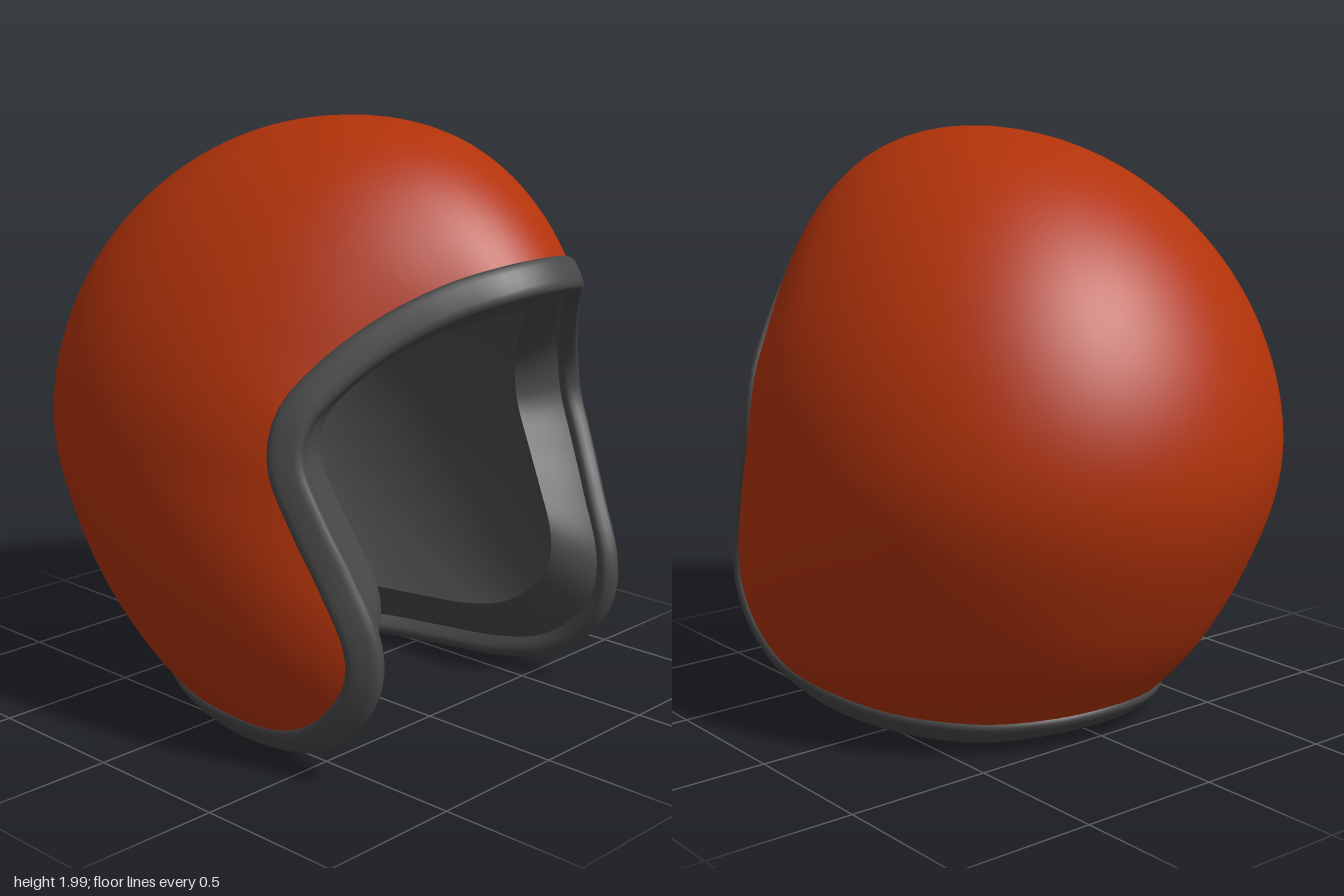
import * as THREE from 'three';
import { mergeVertices } from 'three/addons/utils/BufferGeometryUtils.js';

const V = (x, y, z) => new THREE.Vector3(x, y, z);
const CENTER_Y = 0.95, HALF_WIDTH = 0.863, COLS = 160, ROWS = 56;

// Side profile radius around the centre, every 30 degrees from up towards the front.
const PROFILE = [1.037, 1.118, 1.14, 1.12, 1.28, 1.3, 1.15, 1.01, 0.945, 0.983, 0.983, 0.995];
function profileRadius(angle) {
  const s = ((angle / (Math.PI / 6)) % 12 + 12) % 12;
  const i = Math.floor(s), f = s - i;
  const [a, b, c, d] = [-1, 0, 1, 2].map((k) => PROFILE[(i + k + 12) % 12]);
  return b + 0.5 * f * (c - a + f * (2 * a - 5 * b + 4 * c - d + f * (3 * (b - c) + d - a)));
}

// Maps a unit direction to the shell, relative to the centre.
// The crown is narrowed and the upper back corners are filled out.
function bulge(u) {
  const a = Math.atan2(u.z, u.y), r = profileRadius(a), x2 = u.x * u.x;
  const narrow = 0.14 * (0.5 + 0.5 * Math.cos(a)) ** 2 * (1 - x2);
  const swell = 1 + 0.12 * (0.5 + 0.5 * Math.cos(a + 0.6)) ** 2 * x2 * (1 - x2);
  return V(HALF_WIDTH * u.x * (1 - narrow), r * u.y, r * u.z).multiplyScalar(swell);
}

// One closed edge runs around the face opening, the cheeks and the neck.
function edgePoints() {
  const half = [
    [0.15, 1.545, 0.915], [0.30, 1.495, 0.815], [0.45, 1.40, 0.695], [0.58, 1.28, 0.595],
    [0.67, 1.16, 0.535], [0.70, 1.03, 0.53], [0.68, 0.85, 0.605], [0.65, 0.70, 0.68],
    [0.62, 0.50, 0.765], [0.615, 0.37, 0.765], [0.615, 0.24, 0.69], [0.605, 0.13, 0.55],
    [0.59, 0.075, 0.36], [0.565, 0.055, 0.12], [0.50, 0.053, -0.12], [0.375, 0.06, -0.33],
    [0.20, 0.08, -0.465],
  ].map((p) => V(...p));
  const mirrored = half.slice().reverse().map((p) => V(-p.x, p.y, p.z));
  const curve = new THREE.CatmullRomCurve3(
    [V(0, 1.558, 0.947), ...half, V(0, 0.09, -0.51), ...mirrored], true, 'centripetal');
  return Array.from({ length: COLS }, (_, j) =>
    curve.getPointAt(j / COLS).sub(V(0, CENTER_Y, 0)));
}

// Smooth grid of points, closed around its columns.
function grid(rows, pointAt) {
  const pos = [], index = [];
  for (let i = 0; i <= rows; i++) {
    for (let j = 0; j < COLS; j++) {
      const p = pointAt(i, j);
      pos.push(p.x, p.y + CENTER_Y, p.z);
      if (i === rows) continue;
      const a = i * COLS + j, b = i * COLS + (j + 1) % COLS;
      index.push(a, a + COLS, b, b, a + COLS, b + COLS);
    }
  }
  let g = new THREE.BufferGeometry();
  g.setAttribute('position', new THREE.Float32BufferAttribute(pos, 3));
  g.setIndex(index);
  g = mergeVertices(g);
  g.computeVertexNormals();
  return g;
}

export function createModel() {
  const group = new THREE.Group();
  const orange = new THREE.MeshStandardMaterial({ color: 0xb2330a });
  const grey = new THREE.MeshStandardMaterial({ color: 0x484848 });
  const add = (name, geometry, material) => {
    const mesh = new THREE.Mesh(geometry, material);
    mesh.name = name;
    group.add(mesh);
  };

  // Shell strips fan out from a pole at the back to the edge.
  const edge = edgePoints();
  const pole = V(0, 0.35, -0.94).normalize();
  const strips = edge.map((p) => {
    const r = profileRadius(Math.atan2(p.z, p.y));
    const dir = V(p.x / HALF_WIDTH, p.y / r, p.z / r).normalize();
    return { dir, angle: pole.angleTo(dir), fix: p.clone().sub(bulge(dir)) };
  });
  const shellPoint = (t, j) => {
    const { dir, angle, fix } = strips[j];
    const u = pole.clone().multiplyScalar(Math.sin((1 - t) * angle))
      .addScaledVector(dir, Math.sin(t * angle)).normalize();
    return bulge(u).addScaledVector(fix, t ** 4);
  };
  add('shell', grid(ROWS, (i, j) => shellPoint(i / ROWS, j)), orange);

  // Padding: a sloping wall in from the edge, then the hollow for the head.
  const inset = V(0.695, 0.79, 0.86);
  add('paddingWall', grid(8, (i, j) => {
    const s = i / 8;
    return edge[j].clone().lerp(edge[j].clone().multiply(inset), s)
      .multiplyScalar(1 + 0.03 * Math.sin(Math.PI * s));
  }), grey);
  add('liner', grid(ROWS, (i, j) => shellPoint(1 - i / ROWS, j).multiply(inset)), grey);

  // Edge trim: a flattened rounded bead swept along the edge, set slightly inwards.
  const frames = edge.map((p, j) => {
    const along = edge[(j + 1) % COLS].clone().sub(edge[(j + COLS - 1) % COLS]).normalize();
    const out = p.clone().sub(shellPoint(0.96, j));
    out.addScaledVector(along, -out.dot(along)).normalize();
    return { out, side: along.clone().cross(out) };
  });
  const round = (v) => Math.sign(v) * Math.abs(v) ** 0.6;
  add('edgeTrim', grid(20, (i, j) => {
    const a = (i % 20) / 20 * Math.PI * 2;
    return edge[j].clone()
      .addScaledVector(frames[j].out, 0.058 * round(Math.cos(a)) - 0.004)
      .addScaledVector(frames[j].side, 0.036 * round(Math.sin(a)) + 0.014);
  }), grey);

  return group;
}
